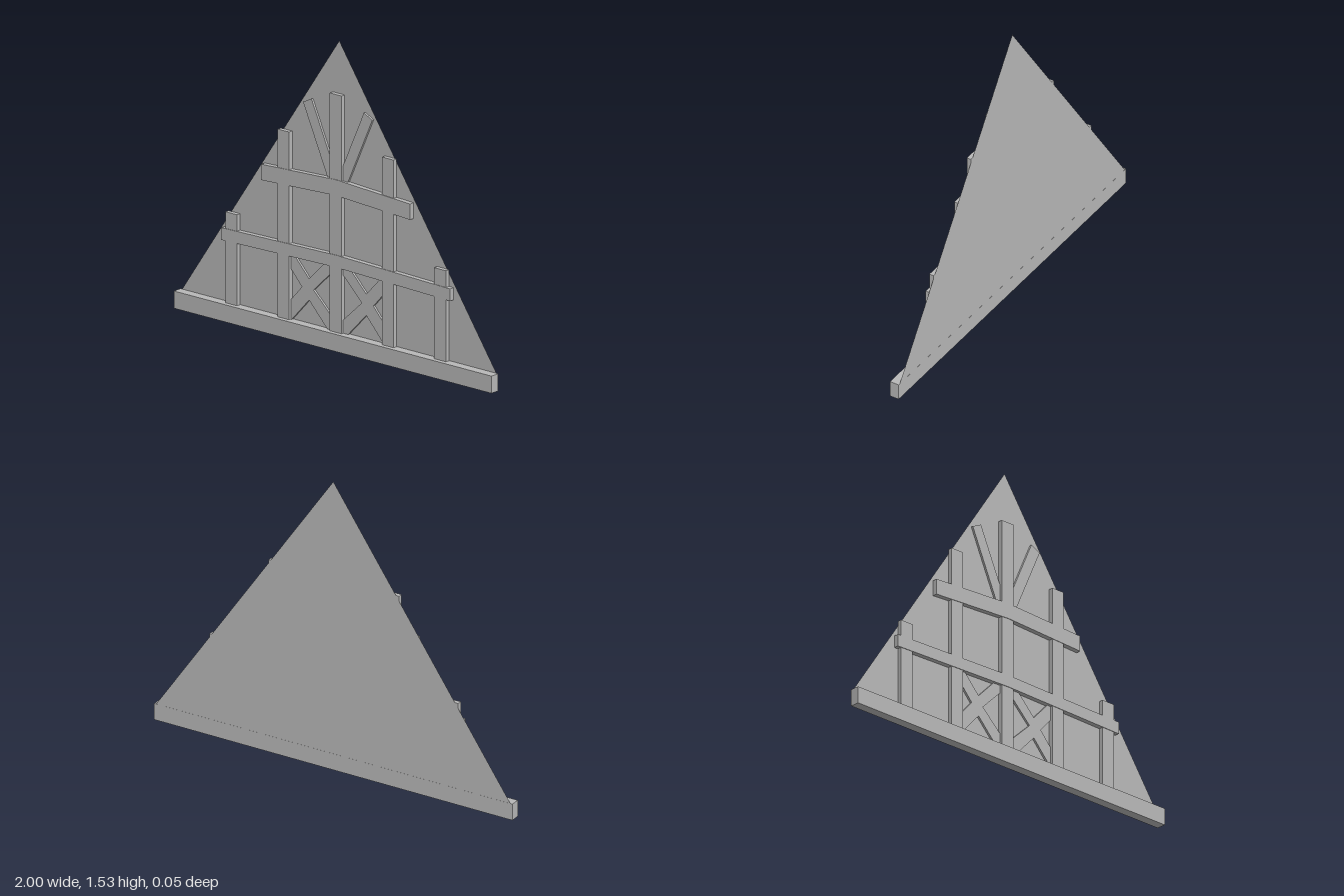
import * as THREE from 'three';

export function createModel() {
  const model = new THREE.Group();
  const grey = new THREE.MeshStandardMaterial({ color: 0xb8b8b8 });
  const greySheet = new THREE.MeshStandardMaterial({ color: 0xb8b8b8, side: THREE.DoubleSide });
  const BACK = -0.024;

  const outline = (pts) => new THREE.Shape(pts.map(([x, y]) => new THREE.Vector2(x, y)));

  // Flat timber cut from an outline, standing on the wall and reaching forward to z = front
  function timber(name, pts, front) {
    const start = BACK + 0.001;
    const geo = new THREE.ExtrudeGeometry(outline(pts), { depth: front - start, bevelEnabled: false });
    geo.translate(0, 0, start);
    const mesh = new THREE.Mesh(geo, grey);
    mesh.name = name;
    model.add(mesh);
  }
  const bar = (name, x0, x1, y0, y1, front) =>
    timber(name, [[x0, y0], [x1, y0], [x1, y1], [x0, y1]], front);

  // Gable wall: a single thin sheet
  const wall = new THREE.Mesh(
    new THREE.ShapeGeometry(outline([[-1, 0], [1, 0], [0.99, 0.085], [0, 1.535], [-0.99, 0.085]])),
    greySheet
  );
  wall.name = 'gableWall';
  wall.position.z = BACK;
  model.add(wall);

  // Sill beam along the bottom
  const sill = new THREE.Mesh(new THREE.BoxGeometry(2, 0.086, 0.049), grey);
  sill.name = 'sillBeam';
  sill.position.set(0, 0.043, 0);
  model.add(sill);

  // Upright posts
  bar('kingPost', -0.04, 0.035, 0.08, 1.272, 0);
  bar('leftInnerPost', 0.29, 0.362, 0.08, 1.022, 0);
  bar('rightInnerPost', -0.367, -0.295, 0.08, 1.022, 0);
  bar('leftOuterPost', 0.617, 0.692, 0.08, 0.54, 0);
  bar('rightOuterPost', -0.697, -0.624, 0.08, 0.54, 0);

  // Rails, slightly bowed upward in the middle
  function rail(name, half, bottom, top, bow) {
    timber(name, [
      [-half, bottom], [0, bottom + bow], [half, bottom],
      [half, top], [0, top + bow], [-half, top]
    ], 0.003);
  }
  rail('upperRail', 0.468, 0.747, 0.826, 0.022);
  rail('lowerRail', 0.72, 0.395, 0.456, 0.016);

  // Mirrored pairs: fanned struts near the peak and crossed braces below
  for (const side of [1, -1]) {
    const prefix = side > 0 ? 'left' : 'right';
    const mirror = (pts) => pts.map(([x, y]) => [x * side, y]);
    timber(prefix + 'PeakStrut',
      mirror([[0.06, 0.835], [0.218, 1.187], [0.165, 1.213], [0.02, 0.89], [0.02, 0.835]]), -0.012);
    timber(prefix + 'CrossBrace', mirror([
      [0.3, 0.08], [0.3, 0.178], [0.225, 0.262], [0.3, 0.345],
      [0.3, 0.41], [0.272, 0.41], [0.18, 0.312], [0.083, 0.41],
      [0.03, 0.41], [0.03, 0.38], [0.152, 0.262], [0.03, 0.148],
      [0.03, 0.08], [0.06, 0.08], [0.18, 0.206], [0.295, 0.08]
    ]), -0.012);
  }

  return model;
}
